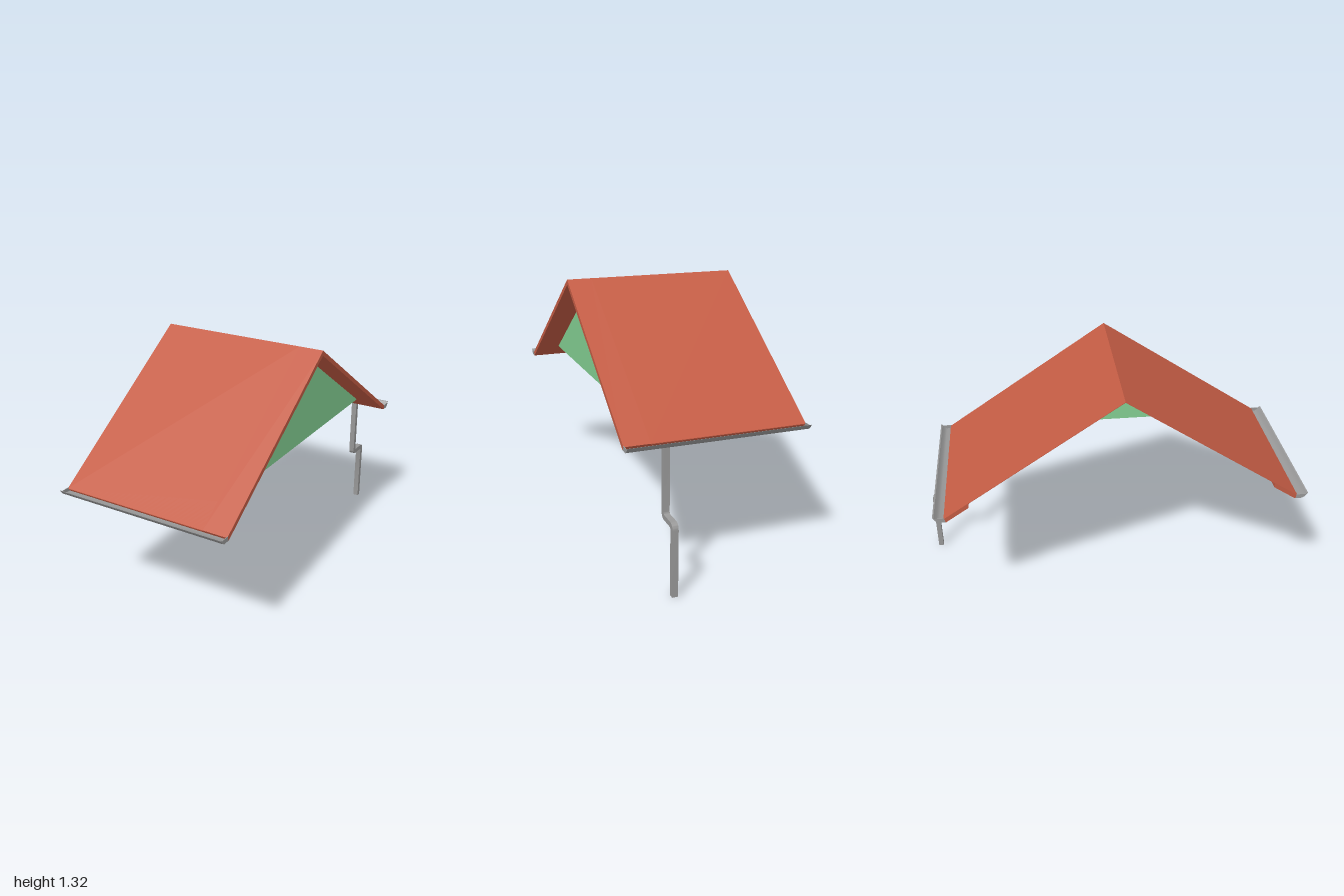
import * as THREE from 'three';
import { toCreasedNormals } from 'three/addons/utils/BufferGeometryUtils.js';

const HALF = 0.46;          // half the roof's width in x
const RIDGE_Z = 0.04;
const GABLE_X = 0.33;       // the end wall sits back under the verge
const RUN = 0.905;          // ridge to eave, measured in z
const TOP = 1.32, INNER_TOP = 1.293, PITCH = 0.668;
const WALL_Y = 0.775;

const material = (color) => new THREE.MeshStandardMaterial({ color, side: THREE.DoubleSide });
const roofMat = material(0xc45c44);
const wallMat = material(0x84d093);
const metalMat = material(0x999999);

const outerY = (d) => TOP - PITCH * d;
const innerY = (d) => INNER_TOP - PITCH * d;
const innerD = (y) => (INNER_TOP - y) / PITCH;

// Extrudes a [z, y] outline along x from x0 to x1
function alongX(shape, x0, x1) {
  const geo = new THREE.ExtrudeGeometry(shape, { depth: x1 - x0, bevelEnabled: false, curveSegments: 8 });
  geo.rotateY(-Math.PI / 2);
  geo.translate(x1, 0, 0);
  return toCreasedNormals(geo, 0.6);
}

const polygon = (points) => new THREE.Shape(points.map(([z, y]) => new THREE.Vector2(z, y)));

// Polyline outline; a third value rounds that corner
function rounded(points) {
  const shape = new THREE.Shape();
  const n = points.length;
  points.forEach(([z, y, r = 0], i) => {
    const p = new THREE.Vector2(z, y);
    const toward = (q) => p.clone().add(new THREE.Vector2(q[0], q[1]).sub(p).setLength(r));
    const a = r ? toward(points[(i + n - 1) % n]) : p;
    const b = r ? toward(points[(i + 1) % n]) : p;
    if (i === 0) shape.moveTo(a.x, a.y);
    else shape.lineTo(a.x, a.y);
    if (r) shape.quadraticCurveTo(p.x, p.y, b.x, b.y);
  });
  return shape;
}

export function createModel() {
  const model = new THREE.Group();
  const add = (name, geometry, mat) => {
    const mesh = new THREE.Mesh(geometry, mat);
    mesh.name = name;
    model.add(mesh);
  };

  const wallD = innerD(WALL_Y);

  for (const [side, s] of [['front', 1], ['back', -1]]) {
    const at = (d, y) => [RIDGE_Z + s * d, y];
    const eaveEnd = [at(RUN, outerY(RUN)), at(RUN - 0.012, innerY(RUN - 0.012))];

    // Thin roof skin over the open interior
    const skin = polygon([at(0, TOP), at(RUN, outerY(RUN)), at(RUN, outerY(RUN) - 0.003), at(0, TOP - 0.003)]);
    add(side + 'RoofSkin', alongX(skin, -HALF, GABLE_X), roofMat);

    // Full-thickness overhang beyond the gable wall
    const verge = polygon([at(0, TOP), ...eaveEnd, at(0, INNER_TOP)]);
    add(side + 'Verge', alongX(verge, GABLE_X, HALF), roofMat);

    // Full-thickness eave strip below wall height
    const eave = polygon([at(wallD, outerY(wallD)), ...eaveEnd, at(wallD, WALL_Y)]);
    add(side + 'Eave', alongX(eave, -HALF, GABLE_X), roofMat);

    // Gutter trough with a flared lip
    const trough = polygon([
      at(0.895, 0.697), at(0.93, 0.697), at(0.945, 0.706), at(0.96, 0.727),
      at(0.953, 0.725), at(0.94, 0.709), at(0.928, 0.701), at(0.895, 0.701),
    ]);
    add(side + 'Gutter', alongX(trough, -HALF, HALF), metalMat);

    // Gutter end caps
    const cap = polygon([at(0.895, 0.697), at(0.93, 0.697), at(0.945, 0.706), at(0.953, 0.72), at(0.9, 0.72)]);
    for (const x of [-HALF, HALF - 0.003]) {
      add(side + 'GutterEnd', alongX(cap, x, x + 0.003), metalMat);
    }
  }

  // Triangular gable wall, on one end only
  const gable = polygon([[RIDGE_Z - wallD, WALL_Y], [RIDGE_Z + wallD, WALL_Y], [RIDGE_Z, INNER_TOP]]);
  const wall = new THREE.ShapeGeometry(gable);
  wall.rotateY(-Math.PI / 2);
  wall.translate(GABLE_X, 0, 0);
  add('gableWall', wall, wallMat);

  // Square downpipe with a rounded offset
  const pipe = rounded([
    [-0.861, 0.7], [-0.861, 0.344, 0.035], [-0.973, 0.344, 0.012], [-0.973, 0],
    [-1, 0], [-1, 0.37, 0.035], [-0.888, 0.37, 0.012], [-0.888, 0.7],
  ]);
  add('downpipe', alongX(pipe, 0.247, 0.277), metalMat);

  return model;
}
